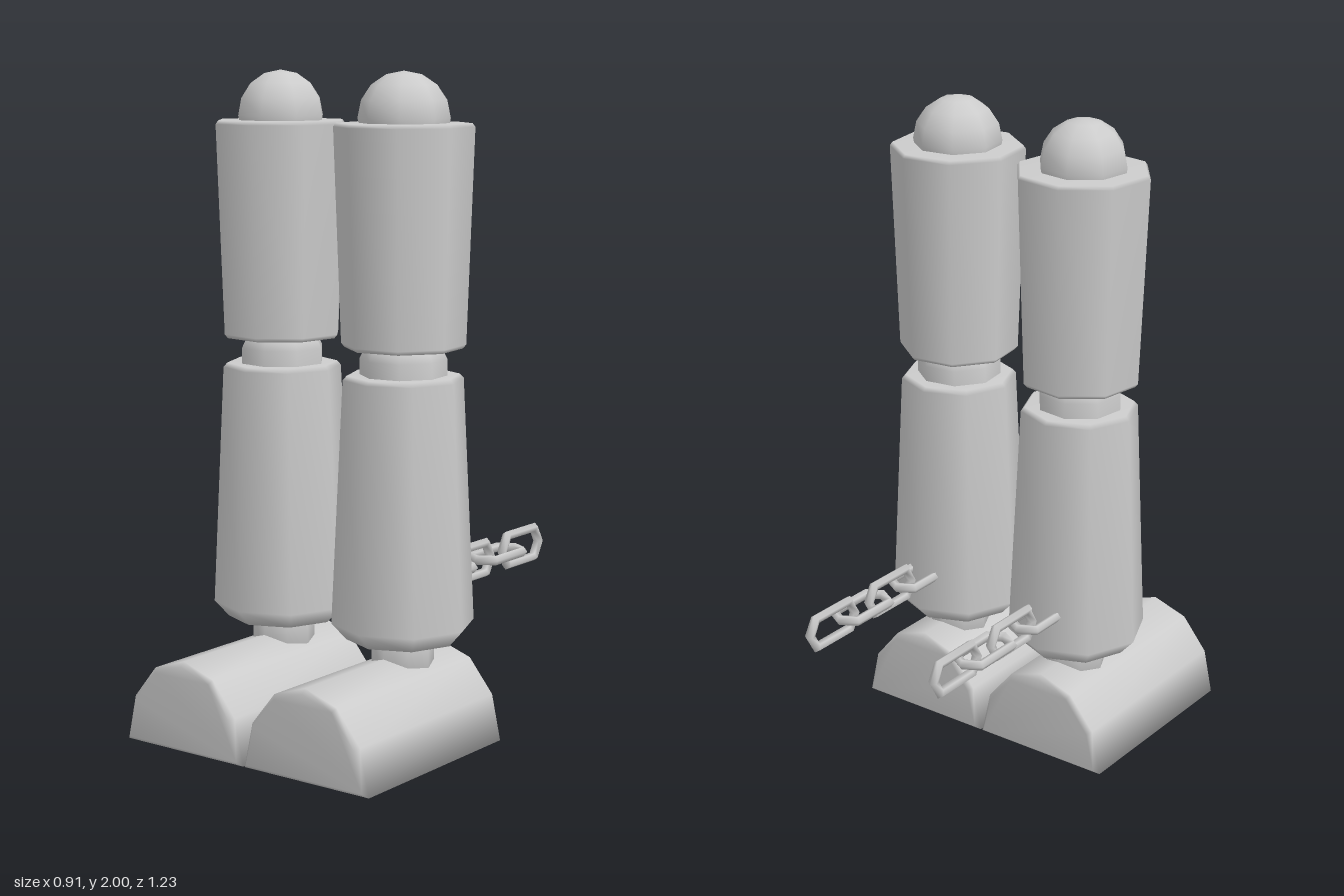
import * as THREE from 'three';
import { mergeVertices } from 'three/addons/utils/BufferGeometryUtils.js';

const grey = new THREE.MeshStandardMaterial({ color: 0xcccccc });
const LEG_Z = 0.134;
const TWIST = THREE.MathUtils.degToRad(14);

function part(name, geometry) {
  const mesh = new THREE.Mesh(geometry, grey);
  mesh.name = name;
  return mesh;
}

// eight-sided turned part; profile runs from bottom to top as [radius, y]
function turned(name, profile, twist = 0) {
  const points = profile.map(([r, y]) => new THREE.Vector2(r, y));
  const mesh = part(name, new THREE.LatheGeometry(points, 8));
  mesh.rotation.y = twist;
  mesh.position.z = LEG_Z;
  return mesh;
}

// half-round block with bevelled ends, shaded smooth throughout
function footGeometry() {
  const shape = new THREE.Shape();
  for (let i = 0; i <= 6; i++) {
    const a = (i * Math.PI) / 6;
    const x = 0.226 * Math.cos(a), y = 0.277 * Math.sin(a);
    if (i === 0) shape.moveTo(x, y);
    else shape.lineTo(x, y);
  }
  shape.closePath();
  const bevel = 0.014;
  let geo = new THREE.ExtrudeGeometry(shape, {
    depth: 0.685 - 2 * bevel, bevelEnabled: true, bevelSegments: 1,
    bevelThickness: bevel, bevelSize: bevel, bevelOffset: -bevel,
  });
  geo.translate(0, 0, -0.07 + bevel);
  geo.deleteAttribute('normal');
  geo.deleteAttribute('uv');
  geo = mergeVertices(geo, 1e-4);
  geo.computeVertexNormals();
  return geo;
}

// stretched hexagonal ring, long axis along z, standing upright
function linkGeometry() {
  const geo = new THREE.TorusGeometry(0.055, 0.016, 5, 6);
  const pos = geo.attributes.position;
  for (let i = 0; i < pos.count; i++) {
    pos.setX(i, pos.getX(i) + Math.sign(pos.getX(i)) * 0.049);
  }
  geo.rotateY(Math.PI / 2);
  return geo;
}

function leg(side) {
  const group = new THREE.Group();
  group.name = side > 0 ? 'leftLeg' : 'rightLeg';
  group.position.x = side * 0.229;
  const twist = -side * TWIST;

  group.add(part('foot', footGeometry()));
  group.add(turned('ankle', [[0, 0.18], [0.095, 0.18], [0.095, 0.36], [0, 0.36]]));
  group.add(turned('shin', [
    [0, 0.325], [0.17, 0.325], [0.215, 0.375], [0.18, 1.105], [0.168, 1.118], [0, 1.118],
  ]));
  group.add(turned('knee', [[0.13, 1.08], [0.13, 1.165], [0.115, 1.195], [0.09, 1.22]], twist));
  group.add(turned('thigh', [
    [0, 1.198], [0.174, 1.198], [0.184, 1.21], [0.206, 1.84], [0.198, 1.851], [0, 1.851],
  ], twist));

  // hip ball
  const hip = part('hipBall', new THREE.SphereGeometry(0.135, 8, 8));
  hip.position.set(0, 1.865, LEG_Z);
  hip.rotation.y = twist;
  group.add(hip);

  // chain trailing backwards, links alternately flat and upright
  const chain = new THREE.Group();
  chain.name = 'chain';
  chain.position.set(side * 0.006, 0.49, -0.08);
  for (let i = 0; i < 4; i++) {
    const link = part('chainLink', linkGeometry());
    link.position.z = -0.138 * i;
    if (i % 2 === 0) link.rotation.z = Math.PI / 2;
    chain.add(link);
  }
  group.add(chain);
  return group;
}

export function createModel() {
  const model = new THREE.Group();
  model.name = 'chainedLegs';
  for (const side of [-1, 1]) model.add(leg(side));
  return model;
}
